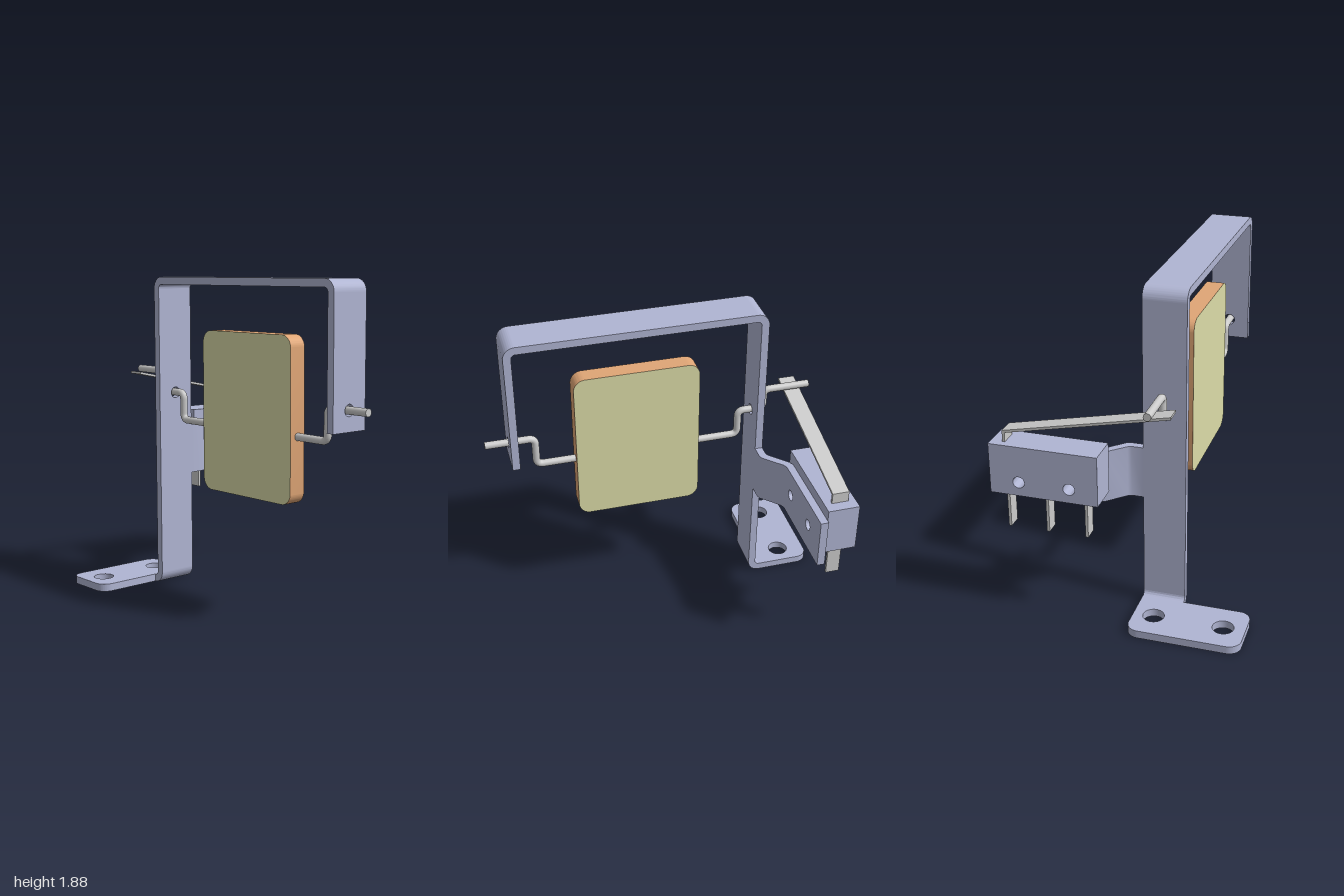
import * as THREE from 'three';
import { toCreasedNormals } from 'three/addons/utils/BufferGeometryUtils.js';

const mat = (color) => new THREE.MeshStandardMaterial({ color });
const T = 0.045; // sheet metal thickness
const Z0 = 0.07, Z1 = 0.31; // strap edges

const polygon = (pts) => new THREE.Shape(pts.map(([x, y]) => new THREE.Vector2(x, y)));

// Rectangle with rounded corners, radii in order: x0y0, x1y0, x1y1, x0y1
function roundRect(x0, y0, x1, y1, [a, b, c, d]) {
  const s = new THREE.Shape(), P = Math.PI;
  const corner = (x, y, r, start) =>
    r ? s.absarc(x, y, r, start, start + P / 2, false) : s.lineTo(x, y);
  s.moveTo(x0, y0 + a);
  corner(x0 + a, y0 + a, a, P);
  corner(x1 - b, y0 + b, b, 1.5 * P);
  corner(x1 - c, y1 - c, c, 0);
  corner(x0 + d, y1 - d, d, P / 2);
  s.closePath();
  return s;
}

function addHoles(shape, holes) {
  for (const [x, y, r] of holes) {
    shape.holes.push(new THREE.Path().absarc(x, y, r, 0, Math.PI * 2, true));
  }
  return shape;
}

const extrude = (shape, depth) => toCreasedNormals(
  new THREE.ExtrudeGeometry(shape, { depth, bevelEnabled: false, curveSegments: 16 }), 0.6);

// Shape drawn in (-z, y), extruded along x
const alongX = (shape, x0, depth) => extrude(shape, depth).rotateY(Math.PI / 2).translate(x0, 0, 0);
// Shape drawn in (x, z), extruded along y
const alongY = (shape, y0, depth) => extrude(shape, depth).rotateX(Math.PI / 2).translate(0, y0 + depth, 0);
// Shape drawn in (x, y), extruded along z
const alongZ = (shape, z0, depth) => extrude(shape, depth).translate(0, 0, z0);

const boxShape = (x0, y0, x1, y1) => polygon([[x0, y0], [x1, y0], [x1, y1], [x0, y1]]);

// Quarter-round bend of the strap
function bend(cx, cy, a) {
  const s = new THREE.Shape();
  s.absarc(cx, cy, 0.07, a, a + Math.PI / 2, false);
  s.absarc(cx, cy, 0.07 - T, a + Math.PI / 2, a, true);
  s.closePath();
  return alongZ(s, Z0, Z1 - Z0);
}

// Round wire through corner points, with small radiused corners
function wireGeometry(points, radius, r) {
  const path = new THREE.CurvePath();
  const v = points.map(([x, y, z]) => new THREE.Vector3(x, y, z));
  let from = v[0];
  for (let i = 1; i < v.length - 1; i++) {
    const a = v[i].clone().add(v[i - 1].clone().sub(v[i]).setLength(r));
    const b = v[i].clone().add(v[i + 1].clone().sub(v[i]).setLength(r));
    path.add(new THREE.LineCurve3(from, a));
    path.add(new THREE.QuadraticBezierCurve3(a, v[i], b));
    from = b;
  }
  path.add(new THREE.LineCurve3(from, v[v.length - 1]));
  return new THREE.TubeGeometry(path, 320, radius, 16, false);
}

export function createModel() {
  const model = new THREE.Group();
  const metal = mat(0xb0b5d3), steel = mat(0xcccccc);
  const group = (name) => {
    const g = new THREE.Group();
    g.name = name;
    model.add(g);
    return g;
  };
  const add = (parent, name, geometry, material) => {
    const m = new THREE.Mesh(geometry, material);
    m.name = name;
    parent.add(m);
    return m;
  };

  // Bent strap bracket
  const bracket = group('bracket');
  add(bracket, 'longArm', alongX(addHoles(boxShape(-Z1, 0.07, -Z0, 1.81), [[-0.19, 1.18, 0.033]]), -0.64, T), metal);
  add(bracket, 'shortArm', alongX(addHoles(boxShape(-Z1, 1.085, -Z0, 1.81), [[-0.19, 1.2, 0.033]]), 0.82, T), metal);
  add(bracket, 'topBeam', alongZ(boxShape(-0.57, 1.835, 0.795, 1.88), Z0, Z1 - Z0), metal);
  add(bracket, 'topBendRight', bend(-0.57, 1.81, Math.PI / 2), metal);
  add(bracket, 'topBendLeft', bend(0.795, 1.81, 0), metal);
  add(bracket, 'footBend', bend(-0.665, 0.07, -Math.PI / 2), metal);

  // Foot with two screw holes
  const foot = addHoles(roundRect(-1, Z0, -0.665, 0.705, [0.07, 0, 0.07, 0.07]),
    [[-0.835, 0.58, 0.06], [-0.835, 0.185, 0.06]]);
  add(bracket, 'foot', alongY(foot, 0, T), metal);

  // Offset tab carrying the switch
  const screwHoles = [[0.245, 0.825, 0.033], [0.53, 0.825, 0.033]];
  const jog = polygon([[-0.595, 0.07], [-0.595, -0.01], [-0.605, -0.035], [-0.705, -0.135], [-0.715, -0.16],
    [-0.715, -0.19], [-0.76, -0.19], [-0.76, -0.145], [-0.747, -0.115], [-0.65, -0.015], [-0.64, 0.005], [-0.64, 0.07]]);
  add(bracket, 'tabJog', alongY(jog, 0.67, 0.3), metal);
  add(bracket, 'tabPlate', alongX(addHoles(boxShape(0.19, 0.67, 0.71, 0.97), screwHoles), -0.76, T), metal);

  // Switch body, terminals and lever
  const sw = group('switch');
  add(sw, 'switchBody', alongX(addHoles(boxShape(0.085, 0.745, 0.695, 1.035), screwHoles), -0.945, 0.185), metal);
  for (const z of [-0.17, -0.392, -0.615]) {
    add(sw, 'terminal', new THREE.BoxGeometry(0.08, 0.235, 0.016), steel).position.set(-0.855, 0.6375, z);
  }
  const lever = polygon([[0.63, 1.03], [0.63, 1.1], [-0.3, 1.298], [-0.3, 1.283], [0.615, 1.088], [0.615, 1.03]].reverse());
  add(sw, 'lever', alongX(lever, -0.902, 0.098), steel);

  // Cranked wire axle
  const axle = group('axle');
  const z = 0.19, r = 0.022;
  const path = [[-0.95, 1.305], [-0.672, 1.305], [-0.672, 1.183], [-0.515, 1.183], [-0.515, 1.02],
    [0.71, 1.02], [0.71, 1.2], [1, 1.2]].map(([x, y]) => [x, y, z]);
  add(axle, 'axleWire', wireGeometry(path, r, 0.04), steel);
  for (const [x, y, s] of [[-0.95, 1.305, -1], [1, 1.2, 1]]) {
    const cap = add(axle, 'axleEnd', new THREE.CircleGeometry(r, 16), steel);
    cap.position.set(x, y, z);
    cap.rotation.y = s * Math.PI / 2;
  }

  // Paddle with differently coloured faces and rim
  const paddle = new THREE.ExtrudeGeometry(roundRect(-0.26, 0.64, 0.48, 1.575, [0.07, 0.07, 0.07, 0.07]),
    { depth: 0.105, bevelEnabled: false, curveSegments: 12 });
  add(model, 'paddle', toCreasedNormals(paddle, 0.6).translate(0, 0, 0.14), [mat(0xdcdca8), mat(0xe0a676)]);

  return model;
}
